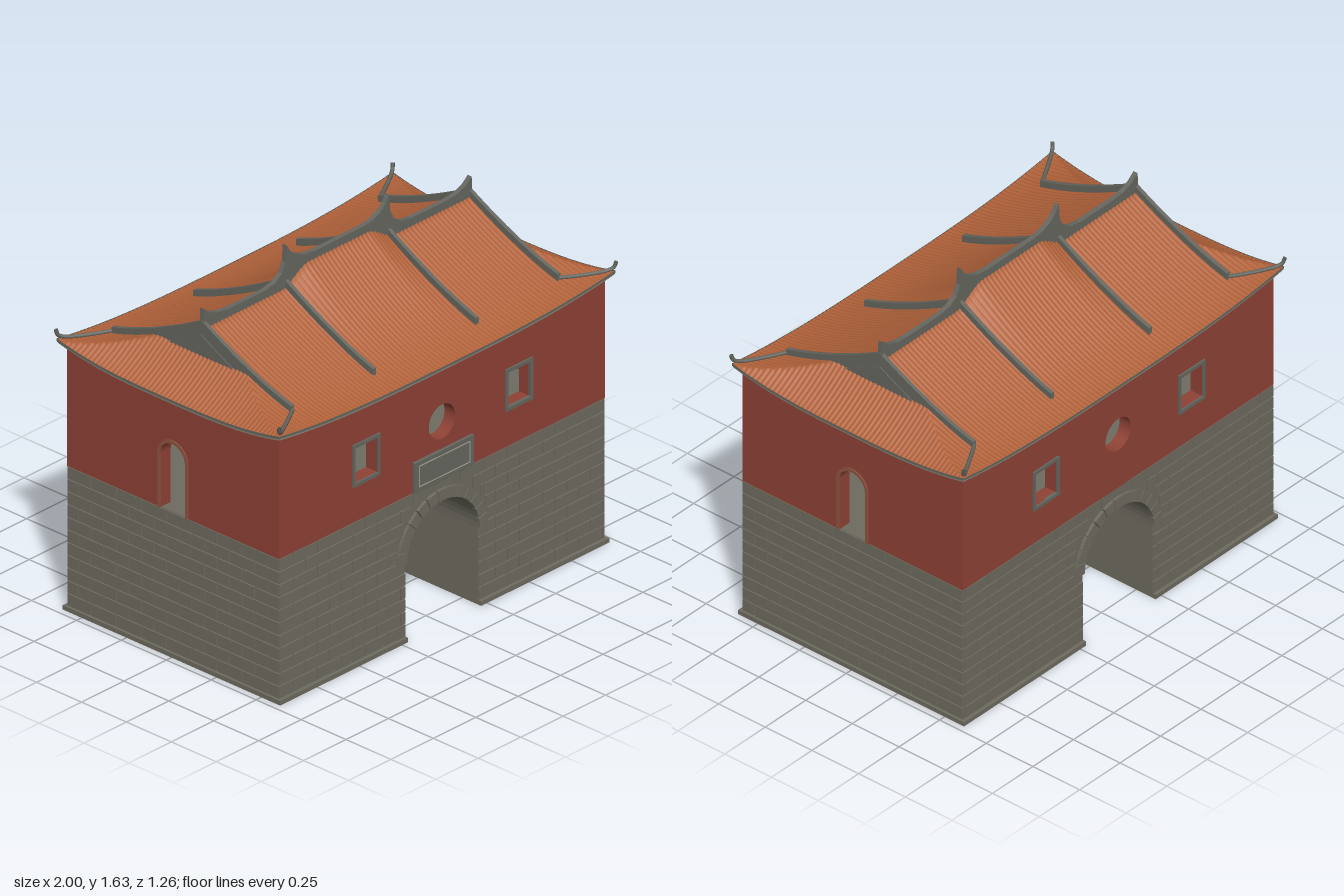
import * as THREE from 'three';
import { mergeGeometries } from 'three/addons/utils/BufferGeometryUtils.js';

const X = 0.96, Z = 0.59, EX = 0.99, EZ = 0.62, GX = 0.79, BASE = 0.66;

const mat = (name, color, double = false) => {
  const m = new THREE.MeshStandardMaterial({ color });
  m.name = name;
  if (double) m.side = THREE.DoubleSide;
  return m;
};

// Roof height: main slope with raised middle bay, cut by the end skirts, corners lifted
function roofY(x, z, wave = 0) {
  const ax = Math.abs(x), az = Math.abs(z);
  const ripple = (v) => wave * Math.cos((2 * Math.PI * v) / 0.022);
  const bay = 1 - THREE.MathUtils.smoothstep(ax, 0.17, 0.34);
  const main = 1.19 + 0.255 * Math.max(0, 1 - az / EZ) ** 1.35
    + 0.075 * bay * Math.max(0, 1 - az / 0.5) ** 2
    + 0.05 * (ax / EX) ** 3 * (az / EZ) ** 2 + ripple(x);
  if (ax < GX - 1e-4) return main;
  const side = 1.19 + 0.13 * Math.max(0, (EX - ax) / (EX - GX)) ** 1.2
    + 0.05 * (az / EZ) ** 3 + ripple(z);
  return Math.min(main, side);
}

const polygon = (pts) => new THREE.Shape(pts.map(([x, y]) => new THREE.Vector2(x, y)));
const extrude = (shape, depth) =>
  new THREE.ExtrudeGeometry(shape, { depth, bevelEnabled: false, curveSegments: 24 });
const rect = (cx, cy, hw, hh) =>
  polygon([[cx - hw, cy - hh], [cx + hw, cy - hh], [cx + hw, cy + hh], [cx - hw, cy + hh]]);
const box = (w, h, d, x, y, z) => new THREE.BoxGeometry(w, h, d).translate(x, y, z);
const range = (n, a, b) => Array.from({ length: n + 1 }, (_, i) => a + ((b - a) * i) / n);

// Points of an arch opening, from its right foot over the crown to its left foot
const archPts = (r, foot, spring) => [[r, foot],
  ...range(24, 0, Math.PI).map((a) => [r * Math.cos(a), spring + r * Math.sin(a)]), [-r, foot]];
const archBand = (r0, r1, foot, spring) =>
  polygon([...archPts(r1, foot, spring), ...archPts(r0, foot, spring).reverse()]);

export function createModel() {
  const stone = mat('stone grey', 0x6e6b60);
  const red = mat('wall red', 0x8f4236);
  const tile = mat('tile orange', 0xb1623a, true);
  const trim = mat('ridge grey', 0x666760, true);
  const pale = mat('pale line', 0xa8a292, true);
  const brown = mat('door frame brown', 0x8f5440);
  const dark = mat('soffit brown', 0x4a3026, true);

  const model = new THREE.Group();
  const add = (name, geometry, material) => {
    const m = new THREE.Mesh(geometry, material);
    m.name = name;
    model.add(m);
    return m;
  };

  // Stone base with a vaulted passage
  const cx = X - 0.006, cz = Z - 0.006;
  const core = polygon([[-cx, 0], [-cx, BASE], [cx, BASE], [cx, 0], ...archPts(0.215, 0, 0.35)]);
  add('base', extrude(core, 2 * cz).translate(0, 0, -cz), stone);

  // Coursed blocks in running bond on all four faces
  const blocks = [], rows = 11, pitch = 0.14, gap = 0.005, rowH = (BASE - 0.02) / rows;
  const course = (from, to, shift, place) => {
    for (let a = shift - 12 * pitch; a < to; a += pitch) {
      const lo = Math.max(a, from), hi = Math.min(a + pitch, to);
      if (hi - lo > 0.012) place((lo + hi) / 2, hi - lo - gap);
    }
  };
  for (let r = 0; r < rows; r++) {
    const y0 = 0.02 + r * rowH, y = y0 + rowH / 2, h = rowH - gap, shift = -0.035 + (r % 2) * pitch / 2;
    const d = y0 - 0.35;
    const open = d < 0 ? (y0 + rowH > 0.35 ? 0.265 : 0.215) : Math.sqrt(Math.max(0, 0.265 ** 2 - d * d));
    for (const s of [-1, 1]) {
      const front = (c, w) => blocks.push(box(w, h, 0.012, c, y, s * (Z - 0.005)));
      if (open > 0) {
        course(-X, -open, shift, front);
        course(open, X, shift, front);
      } else course(-X, X, shift, front);
      course(-Z, Z, shift, (c, w) => blocks.push(box(0.012, h, w, s * (X - 0.005), y, c)));
    }
  }
  add('stoneBlocks', mergeGeometries(blocks), stone);

  // Plinth strips and wedge stones round the passage
  for (const s of [-1, 1]) {
    for (const t of [-1, 1]) {
      add('plinthFront', box(0.755, 0.02, 0.03, t * 0.5925, 0.01, s * 0.59), stone);
    }
    add('plinthSide', box(0.03, 0.02, 1.15, s * 0.955, 0.01, 0), stone);
    const wedges = [];
    for (let i = 0; i < 13; i++) {
      const a0 = (i * Math.PI) / 13 + 0.01, a1 = ((i + 1) * Math.PI) / 13 - 0.01;
      const arc = (r) => range(3, a0, a1).map((a) => [r * Math.cos(a), 0.35 + r * Math.sin(a)]);
      wedges.push(extrude(polygon([...arc(0.265), ...arc(0.215).reverse()]), 0.014)
        .translate(0, 0, s * (Z + 0.001) - 0.007));
    }
    add('archStones', mergeGeometries(wedges), stone);
  }

  // Hollow upper storey, wall tops following the roof
  const T = 0.06;
  for (const s of [-1, 1]) {
    const face = polygon([[-X, BASE], [X, BASE],
      ...range(40, X, -X).map((x) => [x, roofY(x, Z) - 0.008])]);
    for (const t of [-1, 1]) face.holes.push(rect(t * 0.45, 0.92, 0.067, 0.08));
    face.holes.push(new THREE.Path().absarc(0, 0.922, 0.078, 0, Math.PI * 2, true));
    add('longWall', extrude(face, T).translate(0, 0, s > 0 ? Z - T : -Z), red);

    const zi = Z - T;
    const end = polygon([[-zi, BASE], ...range(30, -zi, zi).map((z) => [z, roofY(X, z) - 0.008]),
      [zi, BASE], ...archPts(0.07, BASE, 0.905)]);
    add('endWall', extrude(end, T).rotateY(-Math.PI / 2).translate(s > 0 ? X : T - X, 0, 0), red);

    // Window and door frames
    for (const t of [-1, 1]) {
      const frame = rect(t * 0.45, 0.92, 0.08, 0.096);
      frame.holes.push(rect(t * 0.45, 0.92, 0.067, 0.08));
      add('windowFrame', extrude(frame, 0.016).translate(0, 0, s * Z - 0.008), trim);
    }
    add('doorFrame', extrude(archBand(0.07, 0.085, BASE, 0.905), 0.01)
      .rotateY(-Math.PI / 2).translate(s * X + 0.005, 0, 0), brown);
  }

  // Blank plaque with a fine border
  add('plaque', box(0.35, 0.14, 0.02, 0, 0.73, Z + 0.004), trim);
  const border = rect(0, 0.732, 0.15, 0.049);
  border.holes.push(rect(0, 0.732, 0.146, 0.045));
  add('plaqueBorder', extrude(border, 0.003).translate(0, 0, Z + 0.013), pale);

  // Corrugated tile sheets
  const sheet = (name, x0, x1, nx, nz) => {
    const g = new THREE.PlaneGeometry(x1 - x0, 2 * EZ, nx, nz)
      .rotateX(-Math.PI / 2).translate((x0 + x1) / 2, 0, 0);
    const p = g.attributes.position;
    for (let i = 0; i < p.count; i++) p.setY(i, roofY(p.getX(i), p.getZ(i), 0.003));
    g.computeVertexNormals();
    add(name, g, tile);
  };
  sheet('mainRoof', -GX + 0.0002, GX - 0.0002, 288, 40);
  sheet('leftSkirtRoof', GX, EX, 36, 224);
  sheet('rightSkirtRoof', -EX, -GX, 36, 224);

  // Eave edge, pale line beneath it and the soffit, as strips round the roof
  const loop = [...range(48, -1, 1).map((u) => [u, 1]), ...range(32, 1, -1).map((u) => [1, u]),
    ...range(48, 1, -1).map((u) => [u, -1]), ...range(32, -1, 1).map((u) => [-1, u])];
  const strip = (name, material, in0, d0, in1, d1) => {
    const pos = [], idx = [];
    loop.forEach(([u, v], i) => {
      const y = roofY(u * EX, v * EZ);
      pos.push(u * (EX - in0), y - d0, v * (EZ - in0), u * (EX - in1), y - d1, v * (EZ - in1));
      if (i) idx.push(2 * i - 2, 2 * i - 1, 2 * i, 2 * i, 2 * i - 1, 2 * i + 1);
    });
    const g = new THREE.BufferGeometry();
    g.setAttribute('position', new THREE.Float32BufferAttribute(pos, 3));
    g.setIndex(idx);
    g.computeVertexNormals();
    add(name, g, material);
  };
  strip('eaveEdge', trim, 0, -0.004, 0, 0.007);
  strip('eavePaleLine', pale, 0, 0.007, 0.003, 0.016);
  strip('soffit', dark, 0.003, 0.016, 0.04, 0.012);

  // Main ridge with upswept horns
  const half = [[0, 1.546], [0.14, 1.546], [0.2, 1.553], [0.25, 1.574], [0.28, 1.6], [0.302, 1.635],
    [0.308, 1.56], [0.33, 1.515], [0.37, 1.488], [0.43, 1.476], [0.64, 1.476], [0.7, 1.482],
    [0.75, 1.499], [0.788, 1.53], [0.794, 1.43]];
  const ridge = polygon([...half.slice(1).reverse().map(([x, y]) => [-x, y]), ...half]);
  add('mainRidge', extrude(ridge, 0.022).translate(0, 0, -0.011), trim);

  // Slope ribs, gables and hip ridges
  for (const s of [-1, 1]) {
    for (const x of [0.303, 0.785]) {
      const zs = range(30, -0.5, 0.5);
      const rib = polygon([...zs.map((z) => [z, roofY(x, z) - 0.01]),
        ...zs.reverse().map((z) => [z, roofY(x, z) + 0.03])]);
      add('slopeRib', extrude(rib, 0.018).rotateY(-Math.PI / 2).translate(s * x + 0.009, 0, 0), trim);
    }
    const gable = (zr, low, drop) => polygon([[-zr, low], [zr, low],
      ...range(20, zr, -zr).map((z) => [z, Math.max(low + 0.001, roofY(0.785, z) - drop)])]);
    add('gable', extrude(gable(0.26, 1.3, 0), 0.012)
      .rotateY(-Math.PI / 2).translate(s * 0.786 + 0.006, 0, 0), trim);
    add('gableBoard', extrude(gable(0.2, 1.31, 0.035), 0.012)
      .rotateY(-Math.PI / 2).translate(s * 0.79 + 0.006, 0, 0), trim);
    for (const t of [-1, 1]) {
      const pts = range(5, 0, 0.85).map((k) => {
        const x = 0.785 + 0.2 * k, z = 0.5 + 0.115 * k;
        return new THREE.Vector3(s * x, roofY(x, z) + 0.012, t * z);
      });
      pts.push(new THREE.Vector3(s * 0.985, 1.259, t * 0.616), new THREE.Vector3(s * 0.993, 1.284, t * 0.622));
      add('hipRidge', new THREE.TubeGeometry(new THREE.CatmullRomCurve3(pts), 28, 0.009, 6), trim);
    }
  }
  return model;
}
